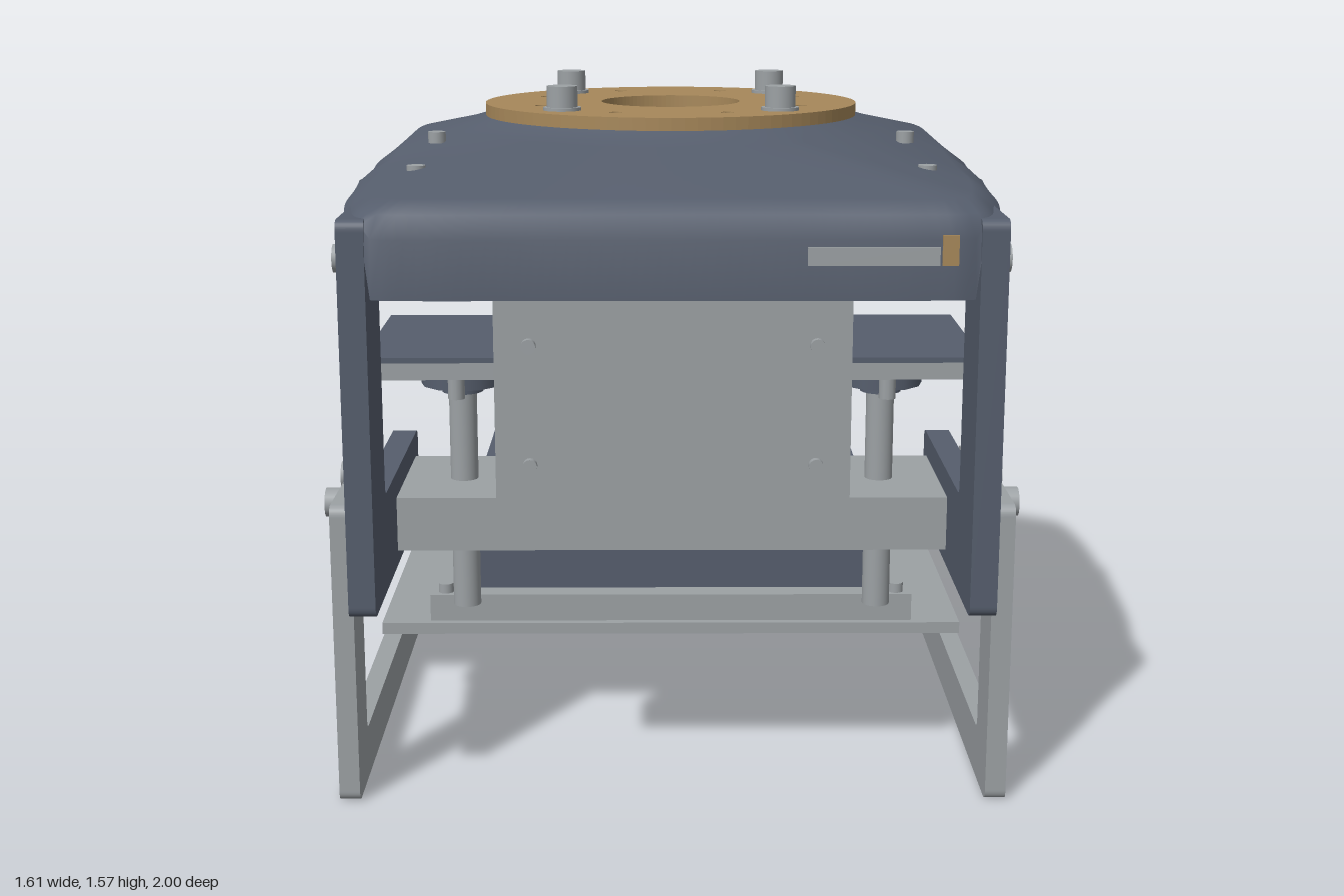
import * as THREE from 'three';

const mat = (name, color, side = THREE.FrontSide) => {
  const m = new THREE.MeshStandardMaterial({ color, side });
  m.name = name;
  return m;
};

export function createModel() {
  const grey = mat('metal grey', 0x9ca1a4);
  const slate = mat('slate', 0x565e6d);
  const shellSlate = mat('shell slate', 0x565e6d, THREE.DoubleSide);
  const bronze = mat('bronze', 0xa7885a);
  const model = new THREE.Group();

  const add = (name, geo, m, x = 0, y = 0, z = 0) => {
    const mesh = new THREE.Mesh(geo, m);
    mesh.name = name;
    mesh.position.set(x, y, z);
    model.add(mesh);
    return mesh;
  };
  // box given by its limits
  const box = (name, m, x0, x1, y0, y1, z0, z1) =>
    add(name, new THREE.BoxGeometry(x1 - x0, y1 - y0, z1 - z0), m, (x0 + x1) / 2, (y0 + y1) / 2, (z0 + z1) / 2);
  // upright cylinder from y0 to y1
  const post = (name, m, r, x, z, y0, y1, n = 24) =>
    add(name, new THREE.CylinderGeometry(r, r, y1 - y0, n), m, x, (y0 + y1) / 2, z);
  // cylinder along x, from |x| = a to b on side s
  const sideBolt = (r, s, a, b, y, z) => {
    add('sideBolt', new THREE.CylinderGeometry(r, r, b - a, 20), grey, s * (a + b) / 2, y, z).rotation.z = Math.PI / 2;
  };
  // polygon with rounded corners
  const rounded = (pts, r) => {
    const s = new THREE.Shape();
    const v = pts.map(p => new THREE.Vector2(...p));
    v.forEach((p, i) => {
      const a = v[(i + v.length - 1) % v.length], b = v[(i + 1) % v.length];
      const p0 = p.clone().add(a.clone().sub(p).setLength(r));
      const p1 = p.clone().add(b.clone().sub(p).setLength(r));
      if (i) s.lineTo(p0.x, p0.y); else s.moveTo(p0.x, p0.y);
      s.quadraticCurveTo(p.x, p.y, p1.x, p1.y);
    });
    s.closePath();
    return s;
  };
  const extrude = (shape, depth) =>
    new THREE.ExtrudeGeometry(shape, { depth, bevelEnabled: false, curveSegments: 24 });
  // side plate drawn in (z, y), spanning |x| = a to b
  const sidePlate = (name, m, pts, r, a, b, s) =>
    add(name, extrude(rounded(pts, r), b - a).rotateY(-Math.PI / 2), m, s > 0 ? b : -a);

  // Base
  box('basePlate', grey, -0.767, 0.767, 0.12, 0.15, -1, 0.12);
  box('controlBox', slate, -0.535, 0.535, 0.15, 0.45, -0.88, 0.02);
  for (const z of [0.07, -0.93]) {
    box('clampBar', grey, -0.64, 0.64, 0.15, 0.222, z - 0.03, z + 0.03);
    for (const x of [-0.6, 0.6]) post('clampScrew', grey, 0.02, x, z, 0.222, 0.247);
  }

  for (const s of [-1, 1]) {
    // Lower side frame
    sidePlate('sideFrame', grey, [[0.91, 0], [0.91, 0.7], [0.35, 0.7], [0.35, 0.525], [0.77, 0.525],
      [0.77, 0.12], [-0.97, 0.12], [-0.97, 0]], 0.025, 0.715, 0.762, s);
    // C-shaped upper bracket
    sidePlate('sideBracket', slate, [[0.98, 0.465], [0.98, 1.35], [0.145, 1.35], [0.145, 1.18], [0.775, 1.18],
      [0.775, 0.69], [0.15, 0.69], [0.15, 0.465]], 0.025, 0.655, 0.715, s);
    for (const z of [0.64, 0.46, 0.29]) {
      sideBolt(0.033, s, 0.715, 0.775, 1.215, z);
    }
    for (const z of [0.675, 0.435]) sideBolt(0.034, s, 0.755, 0.806, 0.645, z);
    for (const z of [0.49, 0.29]) {
      sideBolt(0.06, s, 0.715, z > 0.4 ? 0.77 : 0.73, 0.565, z);
      sideBolt(0.043, s, 0.715, 0.778, 0.565, z);
    }
    post('basePlateScrew', grey, 0.02, s * 0.74, -0.77, 0.15, 0.16);

    // Height-adjustable pad
    const px = s * 0.51, pz = 0.405;
    box('padPlate', grey, px - 0.205, px + 0.205, 0.935, 0.975, 0.14, 0.67);
    box('padCover', slate, px - 0.205, px + 0.205, 0.975, 0.987, 0.14, 0.67);
    post('padFlange', slate, 0.1, px, pz, 0.87, 0.935, 12);
    box('padFlangeBar', slate, px - 0.06, px + 0.06, 0.92, 0.936, 0.225, 0.585);
    for (const dz of [-0.15, 0.15]) post('padScrew', grey, 0.02, px, pz + dz, 0.865, 0.935, 12);
    post('padCollar', slate, 0.05, px, pz, 0.85, 0.87);
    post('padSpindle', grey, 0.034, px, pz, 0.305, 0.87);

    // Strips beneath the deck
    box('deckStrip', slate, s * 0.4625 - 0.1125, s * 0.4625 + 0.1125, 1.168, 1.181, -0.23, 0.69);

    // Front panel screws
    for (const y of [0.815, 1.08])
      add('panelScrew', new THREE.CylinderGeometry(0.016, 0.016, 0.02, 16).rotateX(Math.PI / 2), grey, s * 0.31, y, 0.985);

    // Hood screws
    for (const [x, y, z] of [[0.48, 1.463, -0.41], [0.585, 1.448, 0.155], [0.595, 1.406, 0.52]])
      post('hoodScrew', grey, 0.022, s * x, z, y - 0.02, y + 0.008, 16);

    // Turntable bolts with washers and standoffs
    for (const z of [-0.35, 0.19]) {
      post('tableWasher', grey, 0.047, s * 0.27, z, 1.508, 1.52);
      post('tableBolt', grey, 0.038, s * 0.27, z, 1.52, 1.572);
      post('standoff', grey, 0.035, s * 0.27, z, 1.25, 1.482);
      post('deckBolt', grey, 0.03, s * 0.27, z, 1.172, 1.18);
    }
  }
  box('crossBeam', grey, -0.655, 0.655, 0.5, 0.63, 0.2, 0.59);

  // Front panel box
  box('frontPanel', grey, -0.385, 0.385, 0.715, 1.18, 0.82, 0.978);
  box('frontPanelBack', slate, -0.375, 0.375, 0.77, 1.165, 0.75, 0.82);

  // Deck under the hood, with chamfered rear corners
  const deck = rounded([[-0.65, -0.95], [0.65, -0.95], [0.65, 0.3], [0.36, 0.65], [-0.36, 0.65], [-0.65, 0.3]], 0.03);
  add('deck', extrude(deck, 0.07).rotateX(-Math.PI / 2), grey, 0, 1.18, 0);

  // Turntable ring with bolt holes
  const ring = new THREE.Shape().absarc(0, 0, 0.48, 0, Math.PI * 2);
  const hole = (x, y, r) => ring.holes.push(new THREE.Path().absarc(x, y, r, 0, Math.PI * 2, true));
  hole(0, 0, 0.18);
  for (const sx of [-1, 1]) for (const sy of [-1, 1]) {
    hole(sx * 0.137, sy * 0.33, 0.016);
    hole(sx * 0.33, sy * 0.137, 0.016);
  }
  add('turntableRing',
    new THREE.ExtrudeGeometry(ring, { depth: 0.032, bevelEnabled: false, curveSegments: 48 }).rotateX(-Math.PI / 2),
    bronze, 0, 1.48, -0.08);

  // Hood: plan outline lofted up to the turntable
  const half = [[0.3, 0.995], [0.55, 0.995], [0.64, 0.985], [0.685, 0.945], [0.72, 0.8], [0.75, 0.6], [0.765, 0.35],
    [0.78, 0.17], [0.795, 0.05], [0.802, -0.1], [0.8, -0.27], [0.77, -0.35], [0.68, -0.42], [0.58, -0.5],
    [0.51, -0.58], [0.45, -0.68], [0.4, -0.75], [0.31, -0.8], [0.16, -0.83]];
  const plan = [[0, 0.995], ...half, [0, -0.835], ...half.map(([x, z]) => [-x, z]).reverse()];
  const outline = new THREE.CatmullRomCurve3(plan.map(([x, z]) => new THREE.Vector3(x, 0, z)), true);
  const N = 240, cz = -0.08;
  // [inset, height] at the front and at the back
  const front = [[0, 1.18], [0.005, 1.31], [0.03, 1.36], [0.085, 1.387]];
  const back = [[0, 1.18], [0.03, 1.28], [0.085, 1.38], [0.145, 1.44]];
  const pos = [], idx = [];
  const samples = outline.getSpacedPoints(N).slice(0, N);
  const rings = front.length + 2;
  for (let i = 0; i < rings; i++) {
    for (const p of samples) {
      const R = Math.hypot(p.x, p.z - cz);
      const t = THREE.MathUtils.smoothstep(-p.z, -0.35, 0.5);
      // the lower edge is raised over the side brackets
      const yMin = (Math.abs(p.x) > 0.655 && p.z > 0.14 ? 1.335 : 1.18) + i * 0.004;
      let r, y;
      if (i < front.length) {
        r = R - THREE.MathUtils.lerp(front[i][0], back[i][0], t);
        y = Math.max(yMin, THREE.MathUtils.lerp(front[i][1], back[i][1], t));
      } else if (i === front.length) {
        r = 0.55;
        y = THREE.MathUtils.lerp(1.45, 1.463, t);
      } else {
        r = 0.475;
        y = 1.483;
      }
      pos.push(p.x * r / R, y, cz + (p.z - cz) * r / R);
    }
  }
  for (let i = 0; i < rings - 1; i++) for (let j = 0; j < N; j++) {
    const k = (j + 1) % N, a = i * N + j, b = i * N + k, c = b + N, d = a + N;
    idx.push(a, b, c, a, c, d);
  }
  const hood = new THREE.BufferGeometry();
  hood.setAttribute('position', new THREE.Float32BufferAttribute(pos, 3));
  hood.setIndex(idx);
  hood.computeVertexNormals();
  add('hood', hood, shellSlate);

  // Rear indicator and front slot
  add('rearIndicator', new THREE.CapsuleGeometry(0.018, 0.19, 6, 12).rotateZ(Math.PI / 2), bronze, 0, 1.414, -0.712);
  box('slotStrip', grey, 0.285, 0.565, 1.255, 1.295, 0.99, 0.998);
  box('slotTab', bronze, 0.57, 0.605, 1.255, 1.32, 0.988, 0.996);

  return model;
}
